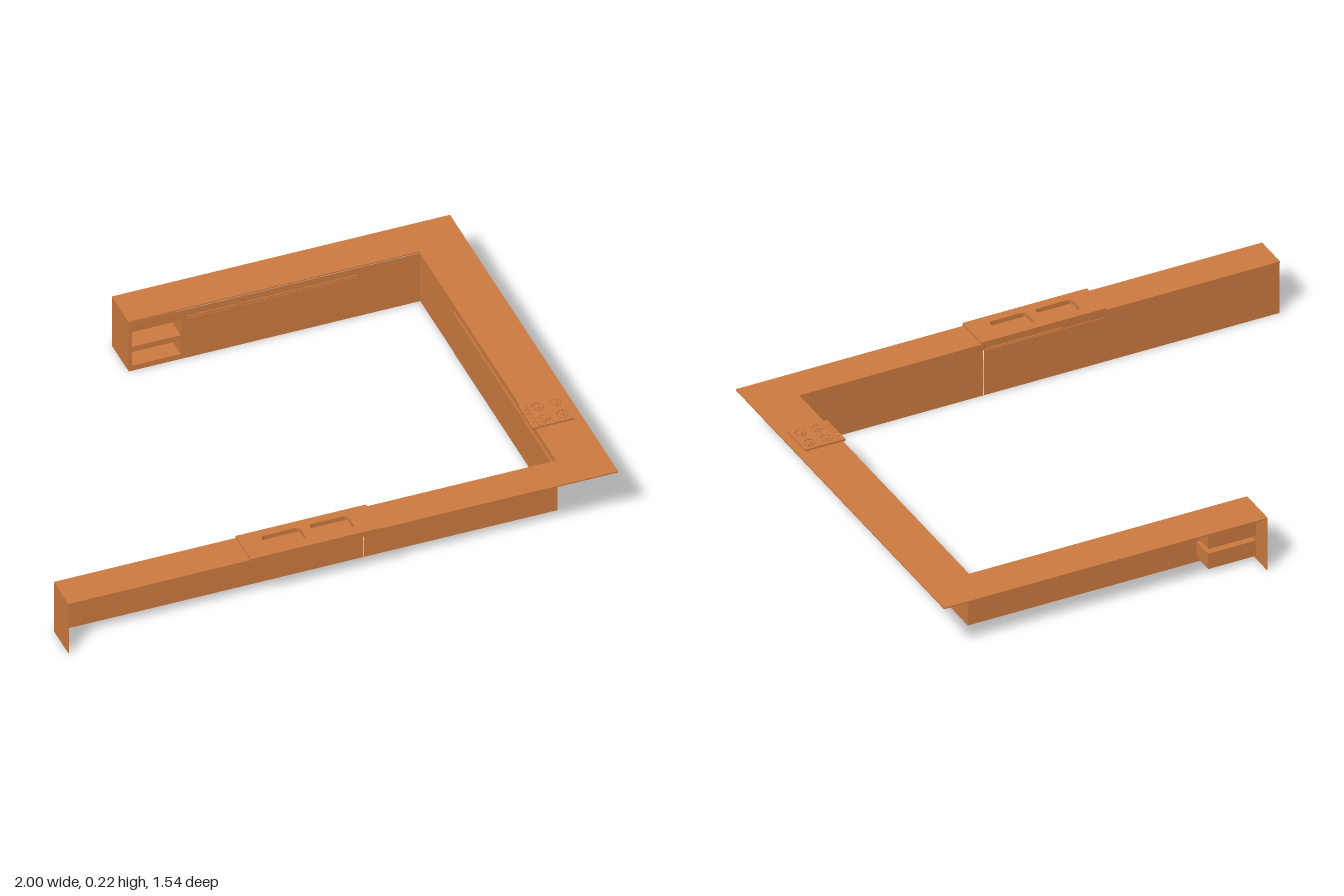
import * as THREE from 'three';

const mat = new THREE.MeshStandardMaterial({ color: 0xcc7a3f, side: THREE.DoubleSide });
const TOP = 0.209;

function add(parent, name, geo) {
  const m = new THREE.Mesh(geo, mat);
  m.name = name;
  parent.add(m);
  return m;
}

// Box given by its min and max corners
function box(parent, name, x0, x1, y0, y1, z0, z1) {
  const m = add(parent, name, new THREE.BoxGeometry(x1 - x0, y1 - y0, z1 - z0));
  m.position.set((x0 + x1) / 2, (y0 + y1) / 2, (z0 + z1) / 2);
  return m;
}

function rect(path, x0, x1, y0, y1) {
  path.moveTo(x0, y0).lineTo(x1, y0).lineTo(x1, y1).lineTo(x0, y1).closePath();
  return path;
}

function roundRect(path, x0, x1, y0, y1, r) {
  path.moveTo(x0 + r, y0).lineTo(x1 - r, y0).quadraticCurveTo(x1, y0, x1, y0 + r);
  path.lineTo(x1, y1 - r).quadraticCurveTo(x1, y1, x1 - r, y1);
  path.lineTo(x0 + r, y1).quadraticCurveTo(x0, y1, x0, y1 - r);
  path.lineTo(x0, y0 + r).quadraticCurveTo(x0, y0, x0 + r, y0);
  return path;
}

// Slab drawn in plan (shape y = z axis) from height y0 to y1
function slab(parent, name, shape, y0, y1) {
  const geo = new THREE.ExtrudeGeometry(shape, { depth: y1 - y0, bevelEnabled: false, curveSegments: 6 });
  geo.rotateX(Math.PI / 2);
  geo.translate(0, y1, 0);
  return add(parent, name, geo);
}

// Thin upright front panel with rectangular openings [a0, a1, y0, y1]
function frontPanel(parent, name, a0, a1, openings) {
  const shape = rect(new THREE.Shape(), a0, a1, 0, 0.205);
  openings.forEach(o => shape.holes.push(rect(new THREE.Path(), ...o)));
  return add(parent, name, new THREE.ShapeGeometry(shape));
}

export function createModel() {
  const group = new THREE.Group();
  group.name = 'kitchenCounter';

  // C-shaped worktop, cut out beneath the sink
  const plan = new THREE.Shape([
    [-1, 0.632], [0.827, 0.632], [0.827, -0.62], [-0.23, -0.62],
    [-0.23, -0.772], [1, -0.772], [1, 0.765], [-1, 0.765],
  ].map(p => new THREE.Vector2(...p)));
  plan.holes.push(rect(new THREE.Path(), -0.3, 0.1, 0.65, 0.75));
  slab(group, 'worktop', plan, 0.204, TOP);

  // Cabinet fronts on the inner side of each arm
  frontPanel(group, 'frontArmPanel', -1, 0.83, [[0.123, 0.127, 0.002, 0.18]]).position.z = 0.636;
  const slots = [[0.315, 0.61], [0.005, 0.31], [-0.3, -0.005]];
  const side = frontPanel(group, 'sideArmPanel', -0.636, 0.617,
    slots.map(([a, b]) => [-b, -a, 0.169, 0.173]));
  side.rotation.y = Math.PI / 2;
  side.position.x = 0.83;
  const niches = [[0.02, 0.08], [0.1, 0.165]];
  frontPanel(group, 'backArmPanel', -0.23, 0.83,
    niches.map(([a, b]) => [-0.22, -0.04, a, b])).position.z = -0.617;

  // End panels closing the two free ends
  box(group, 'frontArmEnd', -1, -0.997, 0, 0.205, 0.636, 0.765);
  box(group, 'backArmEnd', -0.23, -0.227, 0, 0.205, -0.772, -0.617);

  // Open shelf niches at the end of the back arm
  niches.forEach(([y0, y1]) => {
    const niche = new THREE.Group();
    niche.name = 'shelfNiche';
    box(niche, 'nicheBack', -0.22, -0.04, y0, y1, -0.702, -0.7);
    [y0, y1].forEach(y => box(niche, 'nicheShelf', -0.22, -0.04, y - 0.001, y + 0.001, -0.702, -0.617));
    [-0.22, -0.04].forEach(x => box(niche, 'nicheSide', x - 0.001, x + 0.001, y0, y1, -0.702, -0.617));
    group.add(niche);
  });

  // Doors and slim handle rails of the side arm
  slots.forEach(([a, b]) => {
    box(group, 'sideDoor', 0.8275, 0.8295, 0.003, 0.167, a, b);
    box(group, 'sideHandle', 0.825, 0.8295, 0.174, 0.178, a, b);
  });
  // Doors and handles of the back arm
  [[-0.02, 0.165], [0.17, 0.38], [0.385, 0.6]].forEach(([a, b]) => {
    box(group, 'backDoor', a, b, 0.003, 0.167, -0.6165, -0.6145);
    box(group, 'backHandle', a, b, 0.174, 0.178, -0.6165, -0.613);
  });
  // Sink cabinet door and handle
  box(group, 'sinkDoor', -0.33, 0.121, 0.003, 0.18, 0.632, 0.635);
  box(group, 'sinkHandle', -0.17, 0.12, 0.184, 0.188, 0.63, 0.635);

  // Sink plate with two rounded basins
  const sink = new THREE.Group();
  sink.name = 'sink';
  const plate = rect(new THREE.Shape(), -0.338, 0.135, 0.631, 0.771);
  [[-0.26, -0.12], [-0.085, 0.055]].forEach(([a, b]) => {
    plate.holes.push(roundRect(new THREE.Path(), a, b, 0.665, 0.735, 0.016));
    box(sink, 'basinFloor', a - 0.005, b + 0.005, 0.198, 0.2, 0.66, 0.74);
  });
  slab(sink, 'sinkPlate', plate, 0.197, 0.217);
  group.add(sink);

  // Hob with a control strip, knobs and four burners
  const hob = new THREE.Group();
  hob.name = 'hob';
  box(hob, 'hobPlate', 0.842, 0.97, TOP - 0.001, 0.217, 0.31, 0.443);
  box(hob, 'controlStrip', 0.818, 0.84, TOP - 0.001, 0.216, 0.31, 0.443);
  [0.874, 0.938].forEach(x => [0.342, 0.41].forEach(z => {
    const ring = add(hob, 'burnerRing', new THREE.TorusGeometry(0.019, 0.002, 6, 20));
    ring.rotation.x = Math.PI / 2;
    ring.position.set(x, 0.2195, z);
    add(hob, 'burnerCap', new THREE.CylinderGeometry(0.008, 0.009, 0.004, 16)).position.set(x, 0.219, z);
  }));
  for (let i = 0; i < 4; i++) {
    add(hob, 'knob', new THREE.CylinderGeometry(0.005, 0.006, 0.004, 12))
      .position.set(0.829, 0.2175, 0.34 + i * 0.024);
  }
  group.add(hob);

  return group;
}
